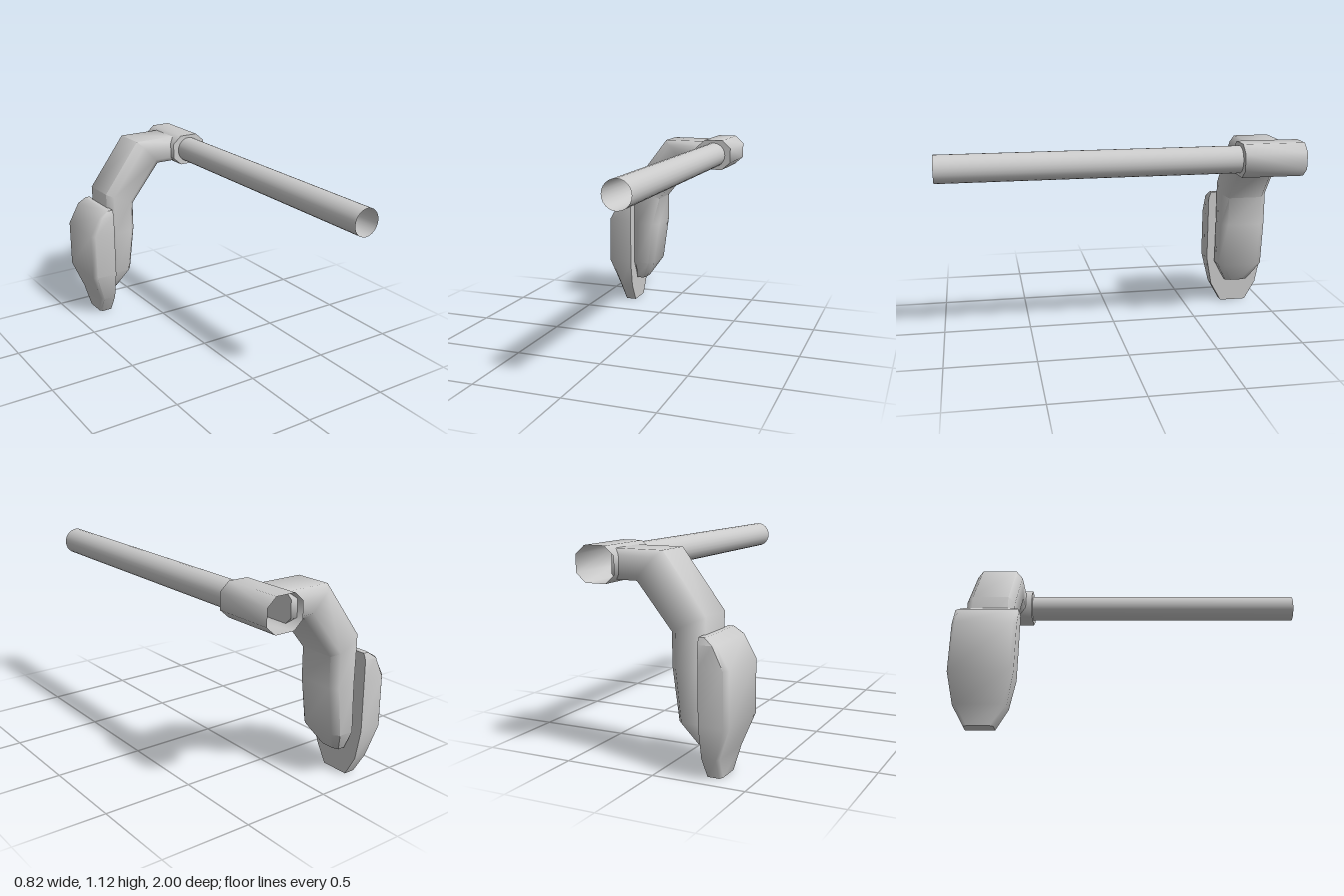
import * as THREE from 'three';
import { toCreasedNormals } from 'three/addons/utils/BufferGeometryUtils.js';

const grey = new THREE.MeshStandardMaterial({ color: 0xcccccc });
const greyOpen = new THREE.MeshStandardMaterial({ color: 0xcccccc, side: THREE.DoubleSide });
const armZ = -0.823;

// Skin a list of rings (each counter-clockwise about the direction of travel)
function loft(rings, capStart, capEnd) {
  const n = rings[0].length;
  const index = [];
  for (let r = 0; r < rings.length - 1; r++) {
    for (let i = 0; i < n; i++) {
      const a = r * n + i, b = r * n + (i + 1) % n;
      index.push(a, b, b + n, a, b + n, a + n);
    }
  }
  const last = (rings.length - 1) * n;
  for (let i = 1; i < n - 1; i++) {
    if (capStart) index.push(0, i + 1, i);
    if (capEnd) index.push(last, last + i, last + i + 1);
  }
  const geometry = new THREE.BufferGeometry().setFromPoints(rings.flat());
  geometry.setIndex(index);
  return toCreasedNormals(geometry, 1.0);
}

// Bevelled section spanning from an outer to an inner point, w wide to each side in z
function section([px, py, qx, qy, w], bevel, f, bevelInner) {
  const v = w - bevel;
  const outline = [[1, v], [1, -v], [1 - f, -w]];
  if (bevelInner) outline.push([f, -w], [0, -v], [0, v], [f, w]);
  else outline.push([0, -w], [0, w]);
  outline.push([1 - f, w]);
  return outline.map(([s, z]) =>
    new THREE.Vector3(qx + (px - qx) * s, qy + (py - qy) * s, armZ + z));
}

function add(group, name, geometry, material) {
  const mesh = new THREE.Mesh(geometry, material);
  mesh.name = name;
  group.add(mesh);
  return mesh;
}

export function createModel() {
  const group = new THREE.Group();
  group.name = 'barrelArm';

  // Bent arm: outer x, y, inner x, y, half width; from the sleeve down to the tip
  const arm = [
    [0.23, 1.105, 0.23, 0.95, 0.136],
    [-0.035, 1.105, 0.11, 0.95, 0.136],
    [-0.265, 0.8, -0.08, 0.715, 0.136],
    [-0.26, 0.545, -0.08, 0.545, 0.136],
    [-0.26, 0.275, -0.115, 0.275, 0.136],
    [-0.26, 0.155, -0.19, 0.155, 0.07],
  ].map(r => section(r, 0.035, 0.2, true));
  add(group, 'arm', loft(arm, true, true), grey);

  // Outer guard plate, flat against the arm, from the top down
  const guard = [
    [-0.29, 0.715, -0.255, 0.715, 0.163],
    [-0.345, 0.68, -0.255, 0.68, 0.177],
    [-0.41, 0.565, -0.255, 0.565, 0.177],
    [-0.41, 0.285, -0.255, 0.285, 0.177],
    [-0.345, 0.115, -0.255, 0.115, 0.145],
    [-0.33, 0, -0.255, 0, 0.08],
  ].map(r => section(r, 0.02, 0.15, false));
  add(group, 'guardPlate', loft(guard, true, true), grey);

  // Eight-sided sleeve, open at the back and closed around the barrel
  const sleeveRing = z => [
    [0.11, -0.046], [0.11, 0.046], [0.057, 0.0925], [-0.057, 0.0925],
    [-0.11, 0.046], [-0.11, -0.046], [-0.057, -0.0925], [0.057, -0.0925],
  ].map(([x, y]) => new THREE.Vector3(0.3 + x, 1.028 + y, z));
  add(group, 'sleeve', loft([sleeveRing(-1), sleeveRing(-0.65)], false, true), greyOpen);

  // Long open barrel
  const barrel = new THREE.CylinderGeometry(0.076, 0.076, 1.65, 24, 1, true);
  barrel.rotateX(Math.PI / 2);
  add(group, 'barrel', barrel, greyOpen).position.set(0.3, 1.028, 0.175);

  return group;
}
